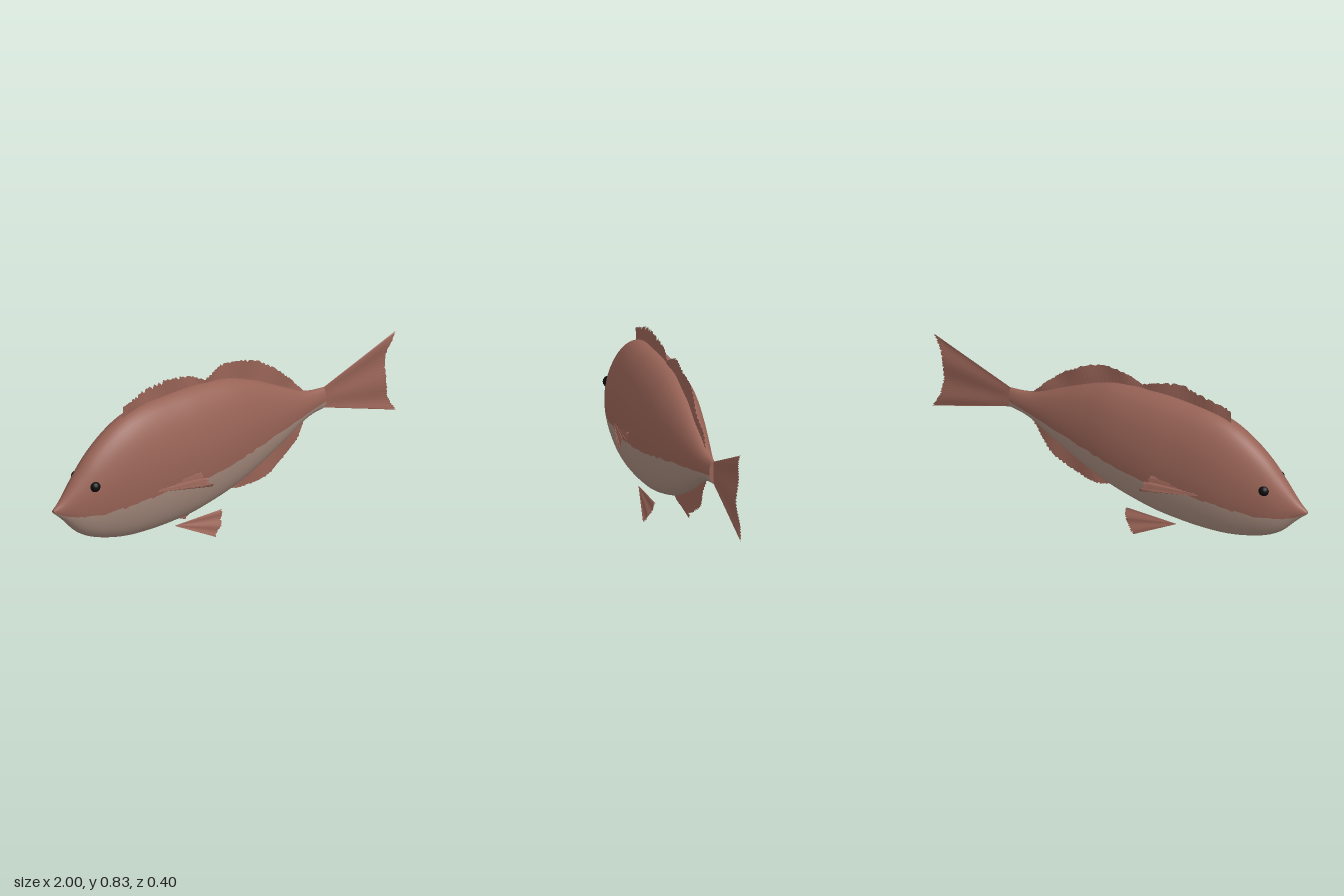
import * as THREE from 'three';

const V = (x, y, z = 0) => new THREE.Vector3(x, y, z);
const spline = (pts) => new THREE.CatmullRomCurve3(pts, false, 'catmullrom', 0.5);

// small repeatable noise in 0..1
const noise = (n) => {
  const s = Math.sin(n * 127.1 + 3.7) * 43758.5453;
  return s - Math.floor(s);
};

// body stations: x, top, bottom, half width, height of the colour border
const STATIONS = [
  [-1.0, 0.39, 0.376, 0.008, 0.382], [-0.95, 0.43, 0.328, 0.03, 0.355],
  [-0.87, 0.52, 0.24, 0.064, 0.337], [-0.79, 0.605, 0.188, 0.089, 0.33],
  [-0.69, 0.68, 0.15, 0.111, 0.333], [-0.59, 0.728, 0.126, 0.127, 0.342],
  [-0.48, 0.751, 0.114, 0.136, 0.348], [-0.35, 0.755, 0.111, 0.14, 0.345],
  [-0.2, 0.75, 0.12, 0.14, 0.338], [0.0, 0.722, 0.16, 0.125, 0.36],
  [0.15, 0.665, 0.212, 0.1, 0.376], [0.3, 0.585, 0.278, 0.071, 0.388],
  [0.43, 0.513, 0.343, 0.043, 0.397], [0.5, 0.488, 0.367, 0.03, 0.405],
  [0.575, 0.478, 0.375, 0.02, 0.415],
];

// elliptical loft; group 0 is the back, group 1 the belly
function bodyGeometry() {
  const heights = spline(STATIONS.map((s) => V(s[0], s[1], s[2])));
  const widths = spline(STATIONS.map((s) => V(s[0], s[3], s[4])));
  const rings = 140, up = 28, low = 24, n = up + low;
  const pos = [], back = [], belly = [];
  for (let i = 0; i <= rings; i++) {
    const h = heights.getPoint(i / rings), w = widths.getPoint(i / rings);
    const cy = (h.y + h.z) / 2, ry = (h.y - h.z) / 2;
    const ragged = (noise(Math.floor(i / 2)) - 0.5) * 0.01 * Math.min(1, ry * 5);
    const a0 = Math.asin(THREE.MathUtils.clamp((w.z + ragged - cy) / ry, -0.9, 0.9));
    for (let j = 0; j < n; j++) {
      const a = j < up
        ? a0 + (Math.PI - 2 * a0) * j / up
        : Math.PI - a0 + (Math.PI + 2 * a0) * (j - up) / low;
      pos.push(h.x, cy + ry * Math.sin(a), w.y * Math.cos(a));
    }
  }
  for (let i = 0; i < rings; i++) {
    for (let j = 0; j < n; j++) {
      const a = i * n + j, d = i * n + (j + 1) % n;
      (j < up ? back : belly).push(a, a + n, d + n, a, d + n, d);
    }
  }
  const g = new THREE.BufferGeometry();
  g.setAttribute('position', new THREE.Float32BufferAttribute(pos, 3));
  g.setIndex([...back, ...belly]);
  g.addGroup(0, back.length, 0);
  g.addGroup(back.length, belly.length, 1);
  g.computeVertexNormals();
  return g;
}

// thin rippled sheet between a root curve and an outer curve
function finGeometry(root, edge, { cols = 60, rows = 6, teeth = 0.06, ripple = V(0, 0, 0.008), waves = 4, fold = 0.3 }) {
  const a = spline(root), b = spline(edge), pos = [], idx = [];
  for (let i = 0; i <= cols; i++) {
    const u = i / cols, p = a.getPoint(u), q = b.getPoint(u);
    const reach = 1 - teeth * noise(i + cols) * (i % 2 ? 1 : 0.3);
    const wave = Math.sin(u * waves * Math.PI * 2 + 0.6) * (1 - fold) + (i % 2 ? fold : -fold);
    for (let j = 0; j <= rows; j++) {
      const v = j / rows;
      const r = p.clone().lerp(q, v * reach).addScaledVector(ripple, wave * v);
      pos.push(r.x, r.y, r.z);
    }
  }
  for (let i = 0; i < cols; i++) {
    for (let j = 0; j < rows; j++) {
      const k = i * (rows + 1) + j, m = k + rows + 1;
      idx.push(k, m, m + 1, k, m + 1, k + 1);
    }
  }
  const g = new THREE.BufferGeometry();
  g.setAttribute('position', new THREE.Float32BufferAttribute(pos, 3));
  g.setIndex(idx);
  g.computeVertexNormals();
  return g;
}

export function createModel() {
  const model = new THREE.Group();
  model.name = 'fish';
  const skin = new THREE.MeshStandardMaterial({ color: 0x986356, side: THREE.DoubleSide });
  skin.name = 'reddish brown skin';
  const pale = new THREE.MeshStandardMaterial({ color: 0xa58a7d });
  pale.name = 'pale belly';
  const black = new THREE.MeshStandardMaterial({ color: 0x0a0a0a });
  black.name = 'black eye';

  const add = (name, geometry, material) => {
    const mesh = new THREE.Mesh(geometry, material);
    mesh.name = name;
    model.add(mesh);
    return mesh;
  };

  add('body', bodyGeometry(), [skin, pale]);

  // closing discs at the snout and the tail root
  for (const [name, s, dir] of [['snoutTip', STATIONS[0], -1], ['tailRoot', STATIONS.at(-1), 1]]) {
    const disc = add(name, new THREE.CircleGeometry(1, 32), skin);
    disc.rotation.y = dir * Math.PI / 2;
    disc.scale.set(s[3], (s[1] - s[2]) / 2, 1);
    disc.position.set(s[0], (s[1] + s[2]) / 2, 0);
  }

  // fins on the centre line
  add('spinyDorsalFin', finGeometry(
    [V(-0.595, 0.70), V(-0.48, 0.73), V(-0.35, 0.735), V(-0.2, 0.73), V(-0.12, 0.72)],
    [V(-0.595, 0.785), V(-0.49, 0.82), V(-0.36, 0.84), V(-0.23, 0.815), V(-0.125, 0.765)],
    { cols: 44, teeth: 0.24, waves: 2 }), skin);
  add('softDorsalFin', finGeometry(
    [V(-0.13, 0.72), V(0, 0.70), V(0.15, 0.64), V(0.3, 0.56), V(0.45, 0.48)],
    [V(-0.125, 0.76), V(0.01, 0.80), V(0.19, 0.75), V(0.35, 0.625), V(0.465, 0.495)],
    { teeth: 0.12, waves: 3 }), skin);
  add('analFin', finGeometry(
    [V(0.0, 0.18), V(0.13, 0.225), V(0.25, 0.275), V(0.36, 0.33), V(0.45, 0.375)],
    [V(0.015, 0.155), V(0.12, 0.128), V(0.26, 0.15), V(0.39, 0.235), V(0.468, 0.36)],
    { teeth: 0.09, waves: 2.5 }), skin);
  add('tailFin', finGeometry(
    [V(0.572, 0.477), V(0.572, 0.427), V(0.572, 0.376)],
    [V(0.997, 0.625), V(0.947, 0.53), V(0.938, 0.42), V(0.952, 0.31), V(0.997, 0.218)],
    { rows: 8, teeth: 0.03, waves: 2 }), skin);

  // paired fins and eyes
  for (const s of [1, -1]) {
    const side = s > 0 ? 'front' : 'rear';
    add(side + 'PectoralFin', finGeometry(
      [V(-0.53, 0.378, s * 0.125), V(-0.525, 0.37, s * 0.127)],
      [V(-0.25, 0.38, s * 0.135), V(-0.24, 0.362, s * 0.168), V(-0.23, 0.337, s * 0.203)],
      { cols: 24, teeth: 0.05, ripple: V(0, 0.018, s * 0.004), waves: 2 }), skin);
    add(side + 'PelvicFin', finGeometry(
      [V(-0.345, 0.114, s * 0.066), V(-0.34, 0.11, s * 0.068)],
      [V(-0.072, 0.108, s * 0.07), V(-0.095, 0.05, s * 0.092), V(-0.14, 0.003, s * 0.109)],
      { cols: 30, teeth: 0.05, ripple: V(0, 0, 0.005), waves: 2 }), skin);
    const eye = add(side + 'Eye', new THREE.SphereGeometry(0.026, 20, 14), black);
    eye.position.set(-0.81, 0.475, s * 0.064);
  }
  return model;
}
